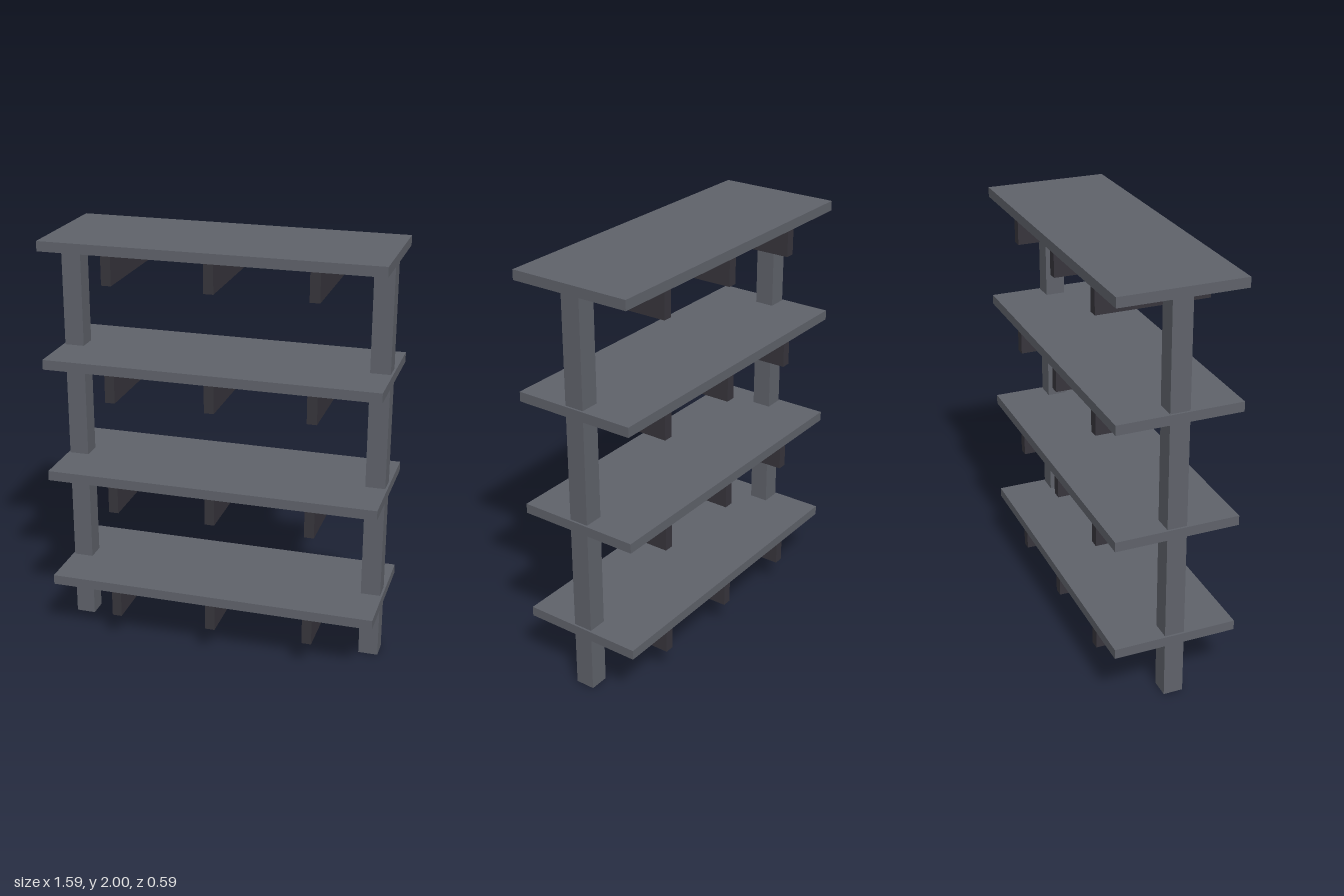
import * as THREE from 'three';

export function createModel() {
  const model = new THREE.Group();
  model.name = 'shelfRack';

  const steel = new THREE.MeshStandardMaterial({ color: 0x5f626a });
  steel.name = 'grey steel';
  const dark = new THREE.MeshStandardMaterial({ color: 0x37353c });
  dark.name = 'dark steel';

  // box resting with its top face at the given height
  function addBox(parent, name, material, w, h, d, x, top) {
    const mesh = new THREE.Mesh(new THREE.BoxGeometry(w, h, d), material);
    mesh.name = name;
    mesh.position.set(x, top - h / 2, 0);
    parent.add(mesh);
  }

  const thickness = 0.047;
  const spacing = 0.5585;

  // two upright posts under the top shelf
  for (const side of [-1, 1]) {
    addBox(model, side > 0 ? 'leftPost' : 'rightPost', steel,
      0.094, 2 - thickness, 0.094, side * 0.738, 2 - thickness);
  }

  // four shelves, each with three cross beams just below it
  for (let i = 0; i < 4; i++) {
    const tier = new THREE.Group();
    tier.name = 'tier' + (i + 1);
    tier.position.y = 2 - (3 - i) * spacing;
    addBox(tier, 'shelf', steel, 1.59, thickness, 0.594, 0, 0);
    for (const x of [-0.479, 0, 0.479]) {
      addBox(tier, 'crossBeam', dark, 0.047, 0.139, 0.535, x, -0.051);
    }
    model.add(tier);
  }

  return model;
}
